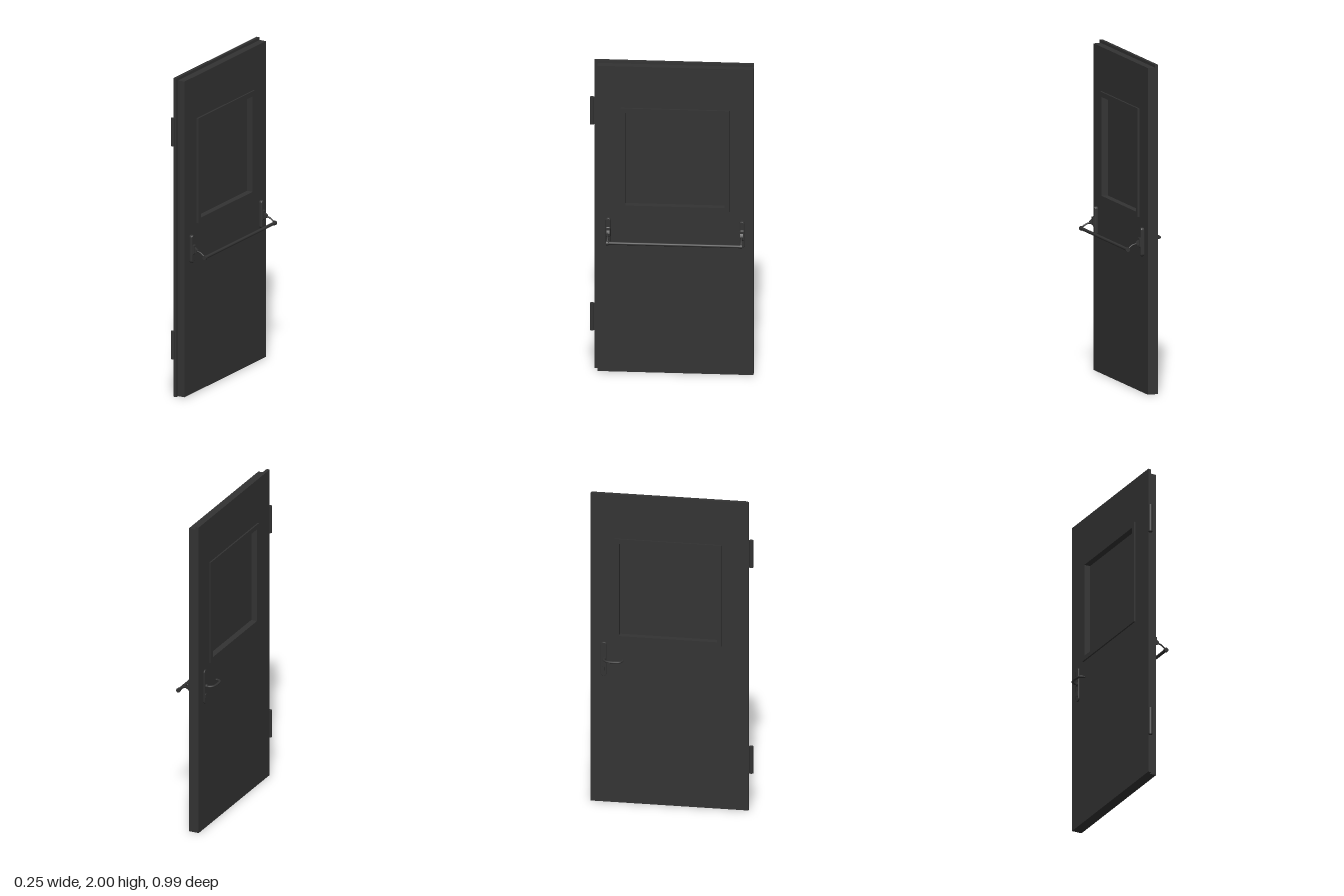
import * as THREE from 'three';

export function createModel() {
  const door = new THREE.Group();
  door.name = 'door';
  const dark = new THREE.MeshStandardMaterial({ color: 0x333333 });

  const add = (name, geometry, parent = door) => {
    const mesh = new THREE.Mesh(geometry, dark);
    mesh.name = name;
    parent.add(mesh);
    return mesh;
  };

  // Rectangle in the plane of the door; shape x stands for -z
  const rect = (z0, z1, y0, y1, Type = THREE.Shape) => new Type([
    [-z1, y0], [-z0, y0], [-z0, y1], [-z1, y1],
  ].map(([x, y]) => new THREE.Vector2(x, y)));

  // Upright plate with round ends
  const roundPlate = (z, y0, y1, r) => {
    const s = new THREE.Shape();
    s.absarc(-z, y1 - r, r, 0, Math.PI);
    s.absarc(-z, y0 + r, r, Math.PI, Math.PI * 2);
    s.closePath();
    return s;
  };

  // Extrude a door-plane shape from x0 to x1, optionally with softened edges
  const slab = (name, shape, x0, x1, bevel = 0) => {
    const g = new THREE.ExtrudeGeometry(shape, {
      depth: x1 - x0 - 2 * bevel, curveSegments: 10,
      bevelEnabled: bevel > 0, bevelSize: bevel, bevelThickness: bevel,
      bevelOffset: -bevel, bevelSegments: 2,
    });
    g.rotateY(Math.PI / 2).translate(x0 + bevel, 0, 0);
    return add(name, g);
  };

  const tube = (name, points, r, parent = door) => add(name, new THREE.TubeGeometry(
    new THREE.CatmullRomCurve3(points.map(p => new THREE.Vector3(...p))), 28, r, 10), parent);

  // Leaf: thick core and the wider rebate plate, both cut for the window
  const opening = () => rect(-0.32, 0.275, 1.085, 1.685, THREE.Path);
  const core = rect(-0.493, 0.443, 0, 1.983);
  core.holes.push(opening());
  slab('leafCore', core, -0.04, 0.005);
  const rebate = rect(-0.493, 0.465, 0, 2);
  rebate.holes.push(opening());
  slab('rebatePlate', rebate, -0.06, -0.04);

  // Window frame, proud on both faces, with the pane set between
  const frame = rect(-0.348, 0.303, 1.057, 1.715);
  frame.holes.push(opening());
  slab('windowFrame', frame, -0.069, 0.017);
  slab('windowPane', rect(-0.322, 0.277, 1.083, 1.687), -0.031, -0.023);

  // Hinge knuckles
  for (const y of [0.33, 1.668]) {
    const hinge = add('hinge', new THREE.CylinderGeometry(0.013, 0.013, 0.175, 12));
    hinge.position.set(-0.053, y, 0.48);
    const leaf = add('hingeLeaf', new THREE.BoxGeometry(0.006, 0.175, 0.03));
    leaf.position.set(-0.053, y, 0.463);
  }

  // Push bar brackets: plate, tapering housing, curved arm and bar cap
  for (const z of [-0.425, 0.377]) {
    slab('bracketPlate', roundPlate(z, 0.83, 1.005, 0.015), 0.005, 0.028, 0.006);

    const side = new THREE.Shape();
    side.moveTo(0.02, 0.965);
    side.quadraticCurveTo(0.032, 0.93, 0.056, 0.915);
    side.lineTo(0.053, 0.9);
    side.quadraticCurveTo(0.035, 0.9, 0.02, 0.865);
    side.closePath();
    const housing = new THREE.ExtrudeGeometry(side, { depth: 0.018, bevelEnabled: false, curveSegments: 8 });
    add('armHousing', housing.translate(0, 0, z - 0.009));

    const seat = add('housingSeat', new THREE.BoxGeometry(0.016, 0.05, 0.026));
    seat.position.set(0.031, 0.917, z);
    tube('pushBarArm', [[0.05, 0.908, z], [0.075, 0.902, z], [0.092, 0.891, z], [0.107, 0.876, z]], 0.005);
    const cap = add('barCap', new THREE.CylinderGeometry(0.0135, 0.0135, 0.013, 16));
    cap.rotation.x = Math.PI / 2;
    cap.position.set(0.108, 0.876, z);
  }
  const bar = add('pushBar', new THREE.CylinderGeometry(0.0095, 0.0095, 0.802, 16));
  bar.rotation.x = Math.PI / 2;
  bar.position.set(0.108, 0.876, -0.024);

  // Lever handle on the other face: plate, collar, bent lever and key barrel
  slab('handlePlate', roundPlate(-0.413, 0.82, 1.04, 0.019), -0.069, -0.06, 0.003);
  const collar = add('handleCollar', new THREE.CylinderGeometry(0.012, 0.012, 0.014, 14));
  collar.rotation.z = Math.PI / 2;
  collar.position.set(-0.073, 0.932, -0.41);
  const lever = tube('leverHandle', [
    [-0.066, 0, -0.411], [-0.088, 0, -0.409], [-0.108, 0, -0.394], [-0.115, 0, -0.37],
    [-0.115, 0, -0.335], [-0.109, 0, -0.308], [-0.095, 0, -0.299], [-0.083, 0, -0.297],
  ], 0.008);
  lever.position.y = 0.932;
  lever.scale.y = 0.8;
  const tip = add('leverTip', new THREE.SphereGeometry(0.008, 10, 8));
  tip.position.set(-0.083, 0.932, -0.297);
  tip.scale.y = 0.8;
  slab('keyBarrel', roundPlate(-0.413, 0.85, 0.885, 0.008), -0.074, -0.066);

  return door;
}
